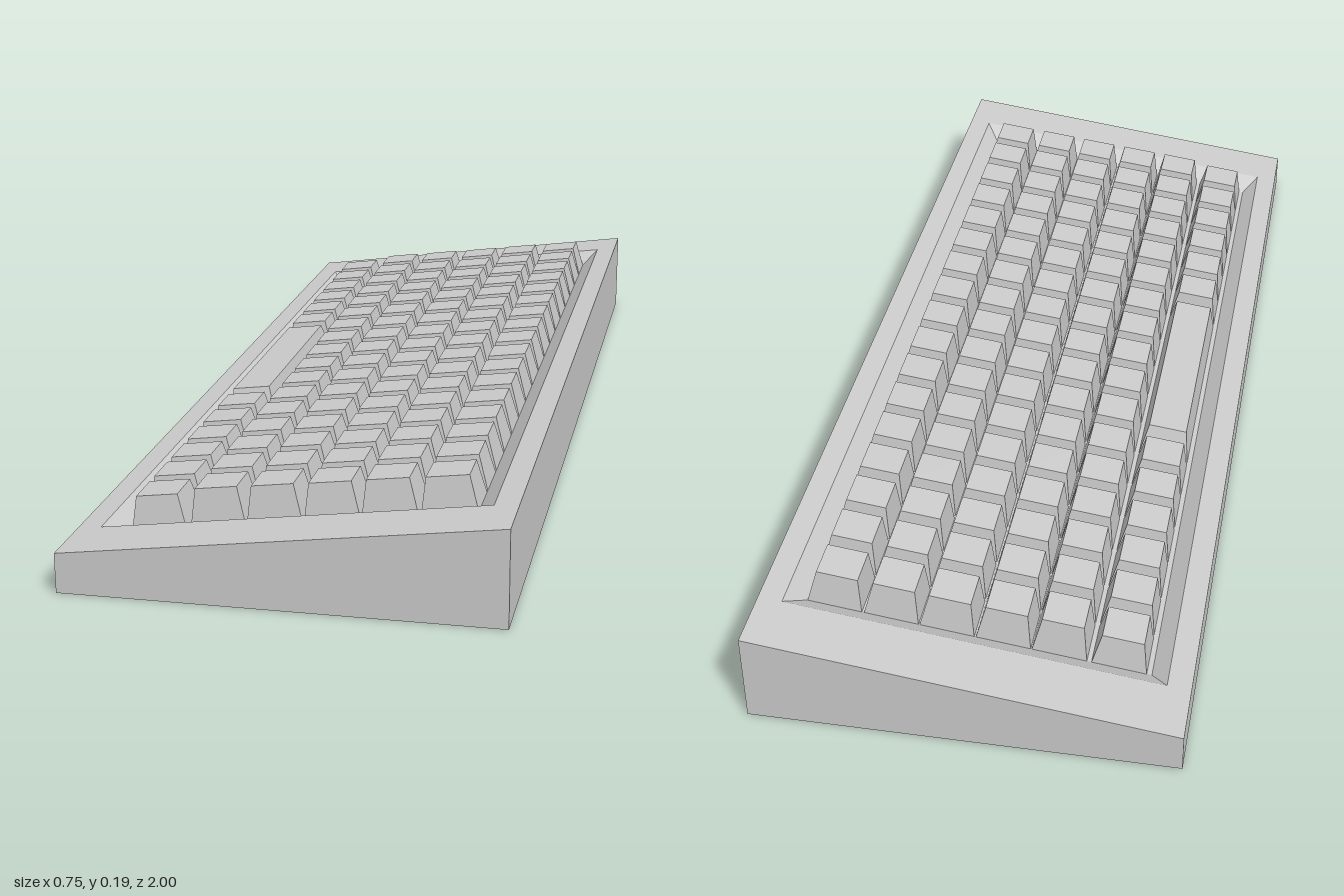
import * as THREE from 'three';

const material = new THREE.MeshStandardMaterial({ color: 0xcccccc, flatShading: true });

// Height of the sloping top of the case
const slope = (x) => 0.12 + x * (0.1 / 0.75);

// Wedge case: rectangular rings run up the walls, over the rim and down into the key well
function createCase() {
  const ring = (hx, hz, height) =>
    [[-1, 1], [1, 1], [1, -1], [-1, -1]].map(([sx, sz]) => [sx * hx, height(sx * hx), sz * hz]);
  const rings = [
    ring(0.375, 1, () => 0),
    ring(0.375, 1, slope),
    ring(0.333, 0.888, slope),
    ring(0.302, 0.845, (x) => slope(x) - 0.026),
  ];
  const positions = [];
  const quad = (a, b, c, d) => positions.push(...a, ...b, ...c, ...a, ...c, ...d);
  for (let i = 0; i < rings.length - 1; i++) {
    for (let j = 0; j < 4; j++) {
      const k = (j + 1) % 4;
      quad(rings[i][j], rings[i][k], rings[i + 1][k], rings[i + 1][j]);
    }
  }
  quad(...rings[3]); // well floor
  quad(...[...rings[0]].reverse()); // underside
  const geometry = new THREE.BufferGeometry();
  geometry.setAttribute('position', new THREE.Float32BufferAttribute(positions, 3));
  geometry.computeVertexNormals();
  const mesh = new THREE.Mesh(geometry, material);
  mesh.name = 'case';
  return mesh;
}

// Tapered keycap: steep on its low side, more slanted on its high side
function createKey(name, x, top, z, halfTop, halfBase) {
  const geometry = new THREE.BoxGeometry(1, 1, 1);
  const p = geometry.attributes.position;
  for (let i = 0; i < p.count; i++) {
    const high = p.getX(i) > 0;
    const upper = p.getY(i) > 0;
    const sz = Math.sign(p.getZ(i));
    const px = x + (upper ? (high ? 0.073 : 0) : (high ? 0.09 : -0.006));
    const py = upper ? top + (high ? 0.0095 : 0) : slope(px) - 0.026;
    p.setXYZ(i, px, py, z + sz * (upper ? halfTop : halfBase));
  }
  geometry.computeVertexNormals();
  const mesh = new THREE.Mesh(geometry, material);
  mesh.name = name;
  return mesh;
}

export function createModel() {
  const model = new THREE.Group();
  model.name = 'keyboard';
  model.add(createCase());

  // Low edge of each row's key tops: x and height
  const rows = [
    [-0.287, 0.115], [-0.183, 0.136], [-0.085, 0.148],
    [0.014, 0.16], [0.112, 0.173], [0.212, 0.185],
  ];
  rows.forEach(([x, top], r) => {
    const row = new THREE.Group();
    row.name = `keyRow${r + 1}`;
    for (let c = -8; c <= 8; c++) {
      // The long bar takes five places in the lowest row
      if (r === 0 && Math.abs(c) <= 2) continue;
      row.add(createKey('key', x, top, c * 0.1, 0.037, 0.046));
    }
    if (r === 0) row.add(createKey('spaceBar', x, top, 0, 0.226, 0.246));
    model.add(row);
  });
  return model;
}
